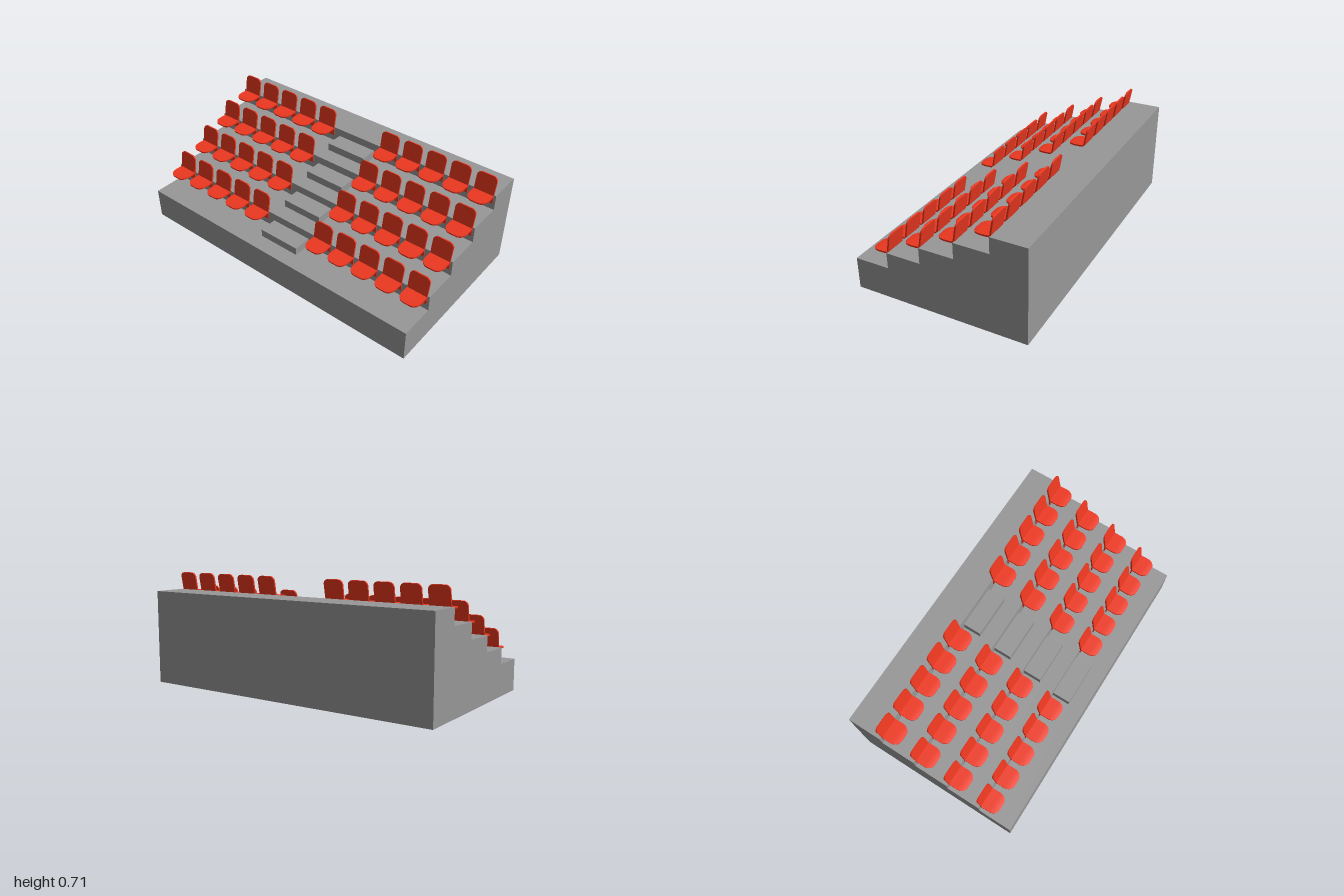
import * as THREE from 'three';
import { mergeGeometries, toCreasedNormals } from 'three/addons/utils/BufferGeometryUtils.js';

const ROWS = 4, TREAD = 0.2188, RISE = 0.1, BASE = 0.2, FRONT = TREAD * 2.5;

// Plate of even thickness swept through sections [z, y, half width]
function plate(sections, thickness) {
  const pos = [], index = [], last = sections.length - 1;
  sections.forEach(([z, y, w], i) => {
    const p = sections[Math.max(i - 1, 0)], q = sections[Math.min(i + 1, last)];
    const dz = q[0] - p[0], dy = q[1] - p[1];
    const s = thickness / 2 / Math.hypot(dz, dy);
    for (const [sx, sn] of [[-1, 1], [1, 1], [1, -1], [-1, -1]]) {
      pos.push(sx * w, y + sn * dz * s, z - sn * dy * s);
    }
    if (i === last) return;
    for (let k = 0; k < 4; k++) {
      const a = i * 4 + k, b = i * 4 + (k + 1) % 4;
      index.push(a, a + 4, b + 4, a, b + 4, b);
    }
  });
  const e = last * 4;
  index.push(0, 1, 2, 0, 2, 3, e, e + 2, e + 1, e, e + 3, e + 2);
  const g = new THREE.BufferGeometry();
  g.setAttribute('position', new THREE.Float32BufferAttribute(pos, 3));
  g.setIndex(index);
  return toCreasedNormals(g, 0.6);
}

// One seat, with its origin on the tread at the foot of the riser
function seatGeometry() {
  const pan = [[0, 0.0935, 0.064], [0.03, 0.0925, 0.066], [0.06, 0.092, 0.066]];
  for (let i = 1; i <= 7; i++) { // rounded front that dips at the lip
    const a = i / 7 * Math.PI / 2;
    pan.push([0.06 + 0.051 * Math.sin(a), 0.092 - 0.005 * Math.sin(a) ** 2,
      0.022 + 0.044 * Math.cos(a)]);
  }
  const lean = y => 0.003 - (y - 0.093) * 0.18;
  const back = [[lean(0.093), 0.093, 0.064], [lean(0.185), 0.185, 0.065]];
  for (let i = 1; i <= 6; i++) { // rounded top corners
    const a = i / 6 * Math.PI / 2, y = 0.185 + 0.029 * Math.sin(a);
    back.push([lean(y), y, 0.035 + 0.03 * Math.cos(a)]);
  }
  const bracket = [[0.003, 0.043, 0.064], [0.003, 0.095, 0.064]];
  return mergeGeometries([plate(pan, 0.01), plate(back, 0.01), plate(bracket, 0.006)]);
}

export function createModel() {
  const group = new THREE.Group();
  const grey = new THREE.MeshStandardMaterial({ color: 0x989898 });
  const red = new THREE.MeshStandardMaterial({ color: 0xee3820 });
  const add = (name, geometry, material, x = 0, y = 0, z = 0) => {
    const mesh = new THREE.Mesh(geometry, material);
    mesh.name = name;
    mesh.position.set(x, y, z);
    group.add(mesh);
  };

  // Stepped stand: side outline extruded across the width
  const outline = new THREE.Shape();
  outline.moveTo(-FRONT, 0).lineTo(FRONT, 0);
  for (let r = 0; r <= ROWS; r++) {
    outline.lineTo(FRONT - r * TREAD, BASE + r * RISE);
    outline.lineTo(FRONT - (r + 1) * TREAD, BASE + r * RISE);
  }
  outline.closePath();
  const stand = new THREE.ExtrudeGeometry(outline, { depth: 2, bevelEnabled: false });
  stand.translate(0, 0, -1).rotateY(-Math.PI / 2);
  add('steppedStand', stand, grey);

  // Aisle steps and the seats on either side of them
  const step = new THREE.BoxGeometry(0.28, 0.05, 0.116);
  const seat = seatGeometry();
  for (let r = 0; r < ROWS; r++) {
    const y = BASE + r * RISE, riser = FRONT - (r + 1) * TREAD;
    add('aisleStep', step, grey, 0, y + 0.025, riser + 0.058);
    for (const side of [-1, 1]) {
      for (let i = 0; i < 5; i++) {
        const x = side * (0.25 + i * 0.1675) + 0.002;
        add(side > 0 ? 'leftSeat' : 'rightSeat', seat, red, x, y, riser);
      }
    }
  }
  return group;
}
